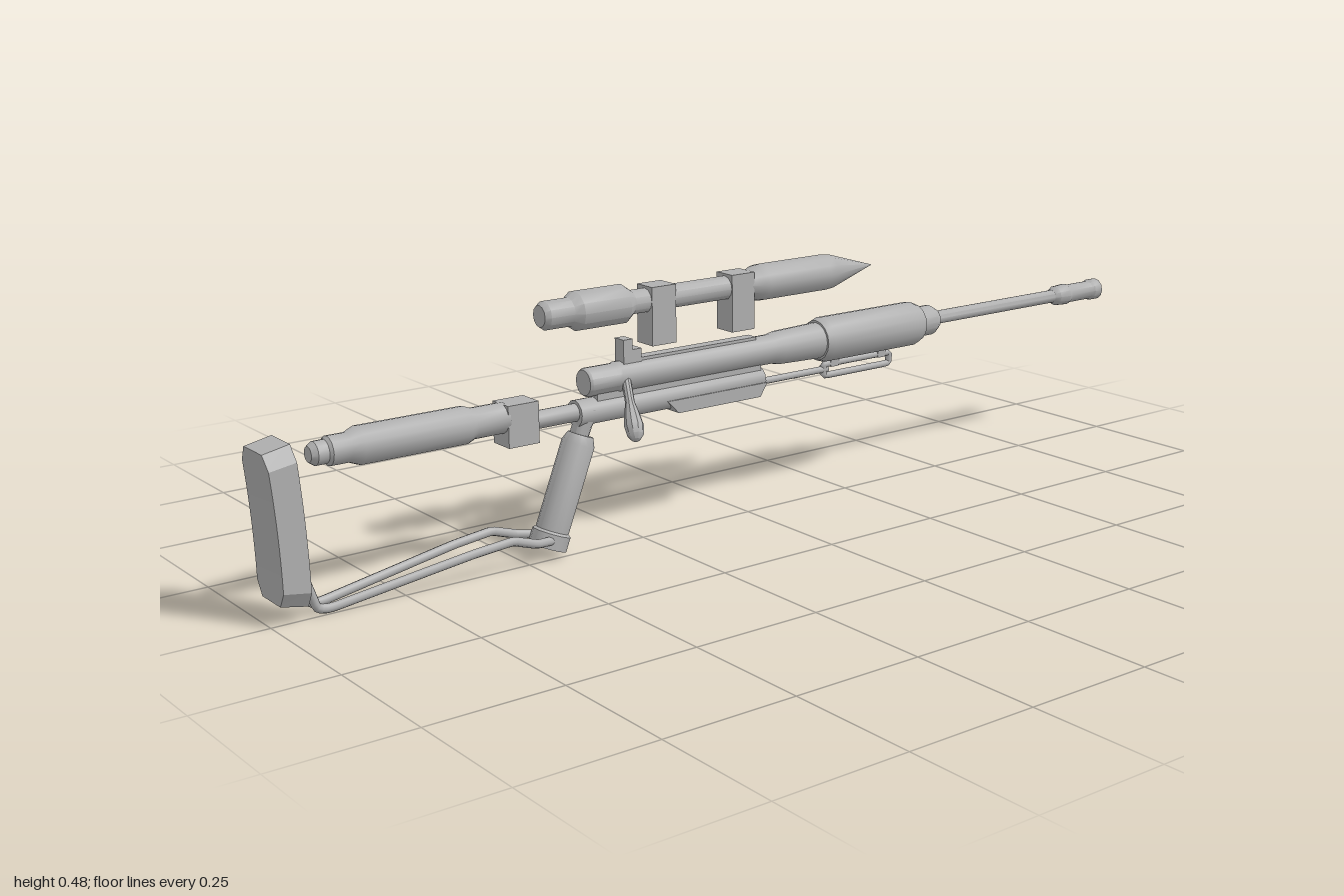
import * as THREE from 'three';
import { toCreasedNormals } from 'three/addons/utils/BufferGeometryUtils.js';

const Z = -0.025; // centre plane of the rifle
const steel = new THREE.MeshStandardMaterial({ color: 0xb0b0b0 });
steel.name = 'grey steel';
const V = (x, y, z = Z) => new THREE.Vector3(x, y, z);

export function createModel() {
  const root = new THREE.Group();
  root.name = 'rifle';

  const add = (name, geo) => {
    const m = new THREE.Mesh(geo, steel);
    m.name = name;
    root.add(m);
    return m;
  };
  // Turned part along x: profile pairs are [x, radius]
  const turned = (name, y, profile, sides = 12) => {
    const g = new THREE.LatheGeometry(profile.map(([x, r]) => new THREE.Vector2(r, x)), sides);
    g.rotateZ(-Math.PI / 2);
    g.translate(0, y, Z);
    return add(name, toCreasedNormals(g, 0.6));
  };
  // Turned part between two points: profile pairs are [fraction of length, radius]
  const turnedBetween = (name, a, b, profile, sides = 12) => {
    const dir = b.clone().sub(a);
    const g = new THREE.LatheGeometry(profile.map(([t, r]) => new THREE.Vector2(r, t * dir.length())), sides);
    const m = add(name, toCreasedNormals(g, 0.6));
    m.quaternion.setFromUnitVectors(V(0, 1, 0), dir.normalize());
    m.position.copy(a);
    return m;
  };
  const box = (name, x0, x1, y0, y1, depth) => {
    const g = new THREE.BoxGeometry(x1 - x0, y1 - y0, depth);
    g.translate((x0 + x1) / 2, (y0 + y1) / 2, Z);
    return add(name, g);
  };
  // Bent rod through points with tight corners
  const rod = (name, pts, r, closed = false) => {
    const path = new THREE.CurvePath();
    const list = closed ? [...pts, pts[0]] : pts;
    let from = list[0];
    for (let i = 1; i < list.length; i++) {
      const end = list[i], prev = list[i - 1];
      if (i < list.length - 1) {
        const before = end.clone().lerp(prev, 0.12), after = end.clone().lerp(list[i + 1], 0.12);
        path.add(new THREE.LineCurve3(from, before));
        path.add(new THREE.QuadraticBezierCurve3(before, end, after));
        from = after;
      } else path.add(new THREE.LineCurve3(from, end));
    }
    return add(name, new THREE.TubeGeometry(path, 72, r, 8, false));
  };

  // Upper tube, handguard and barrel with a hollow muzzle
  turned('upperReceiver', 0.32, [[-0.36, 0], [-0.36, 0.024], [-0.355, 0.027], [-0.295, 0.027],
    [-0.29, 0.029], [0.07, 0.029], [0.09, 0.033], [0.19, 0.036], [0.2, 0.036]], 16);
  turned('handguard', 0.32, [[0.19, 0], [0.19, 0.04], [0.205, 0.045], [0.44, 0.045], [0.455, 0.039],
    [0.455, 0.031], [0.495, 0.031], [0.51, 0.022], [0.51, 0]], 16);
  turned('barrel', 0.322, [[0.5, 0.014], [0.88, 0.014]]);
  turned('muzzle', 0.322, [[0.86, 0.013], [0.872, 0.021], [0.9, 0.023], [0.91, 0.02], [0.975, 0.02],
    [0.98, 0.023], [1, 0.023], [1, 0.016], [0.93, 0.016], [0.93, 0]]);

  // Lower receiver, magazine floor and connecting rods
  turned('lowerReceiver', 0.266, [[-0.38, 0], [-0.38, 0.025], [0.045, 0.025], [0.045, 0]]);
  box('receiverWeb', -0.34, 0.04, 0.265, 0.305, 0.03);
  turned('rearRod', 0.268, [[-0.48, 0.013], [-0.46, 0.017], [-0.37, 0.017]]);
  const floor = new THREE.Shape([[-0.19, 0.262], [-0.165, 0.236], [0.03, 0.236], [0.047, 0.262]]
    .map(p => new THREE.Vector2(...p)));
  const floorGeo = new THREE.ExtrudeGeometry(floor, { depth: 0.052, bevelEnabled: false });
  floorGeo.translate(0, 0, Z - 0.026);
  add('magazineFloor', floorGeo);
  rod('frontRod', [V(0.03, 0.258), V(0.12, 0.258), V(0.22, 0.258)], 0.007);
  rod('slingLoop', [V(0.3, 0.268), V(0.385, 0.268), V(0.385, 0.245), V(0.21, 0.245), V(0.21, 0.268)], 0.007, true);
  for (const x of [0.235, 0.36]) box('slingLug', x - 0.01, x + 0.01, 0.262, 0.285, 0.014);

  // Rear cylinder and its clamp block
  turned('rearCylinder', 0.284, [[-0.905, 0], [-0.905, 0.014], [-0.895, 0.021], [-0.875, 0.021],
    [-0.87, 0.026], [-0.835, 0.026], [-0.815, 0.034], [-0.61, 0.034], [-0.595, 0.028],
    [-0.53, 0.028], [-0.53, 0]], 16);
  box('clampBlock', -0.535, -0.472, 0.233, 0.31, 0.052);

  // Grip with neck and bottom collar
  turnedBetween('gripNeck', V(-0.39, 0.18), V(-0.352, 0.272), [[0, 0.018], [0.7, 0.018], [1, 0.024]]);
  turnedBetween('grip', V(-0.446, 0.026), V(-0.368, 0.225),
    [[0, 0], [0, 0.036], [0.13, 0.036], [0.15, 0.031], [0.92, 0.031], [1, 0.024], [1, 0]], 14);

  // Skeleton stock: a mirrored pair of bent rods and the curved pad
  for (const s of [-1, 1]) {
    rod('stockRod', [V(-0.45, 0.045, Z + s * 0.025), V(-0.49, 0.05, Z + s * 0.037), V(-0.54, 0.066, Z + s * 0.037),
      V(-0.62, 0.058, Z + s * 0.034), V(-0.91, 0.014, Z + s * 0.018), V(-0.95, 0.13, Z + s * 0.018)], 0.0085);
  }
  const pad = new THREE.BoxGeometry(0.05, 1, 0.1, 1, 10, 1);
  const p = pad.attributes.position;
  for (let i = 0; i < p.count; i++) {
    const t = p.getY(i) + 0.5;
    const narrow = t < 0.01 || t > 0.99 ? 0.68 : 1;
    p.setXYZ(i, p.getX(i) - 0.96 - 0.016 * t * t, 0.04 + 0.273 * t + p.getX(i) * (t - 0.5) * 0.4,
      p.getZ(i) * narrow + Z);
  }
  add('buttPad', toCreasedNormals(pad, 0.4));

  // Bolt handle and rear sight
  turnedBetween('boltHandle', V(-0.278, 0.325, -0.01), V(-0.312, 0.222, 0.072),
    [[0, 0.009], [0.42, 0.009], [0.58, 0.014], [0.76, 0.018], [0.9, 0.015], [0.97, 0.008], [1, 0]], 10);
  box('sightPost', -0.28, -0.26, 0.34, 0.39, 0.028);
  box('sightBase', -0.28, -0.24, 0.34, 0.37, 0.028);
  box('rail', -0.24, 0.03, 0.335, 0.352, 0.024);

  // Scope and mounts
  turned('scope', 0.455, [[-0.45, 0], [-0.45, 0.02], [-0.44, 0.027], [-0.39, 0.027], [-0.375, 0.037],
    [-0.275, 0.037], [-0.255, 0.023], [0.01, 0.023], [0.035, 0.034], [0.05, 0.036], [0.2, 0.036], [0.22, 0.034], [0.335, 0]]);
  for (const x of [-0.195, -0.01]) box('scopeMount', x - 0.027, x + 0.027, 0.372, 0.482, 0.048);

  return root;
}
